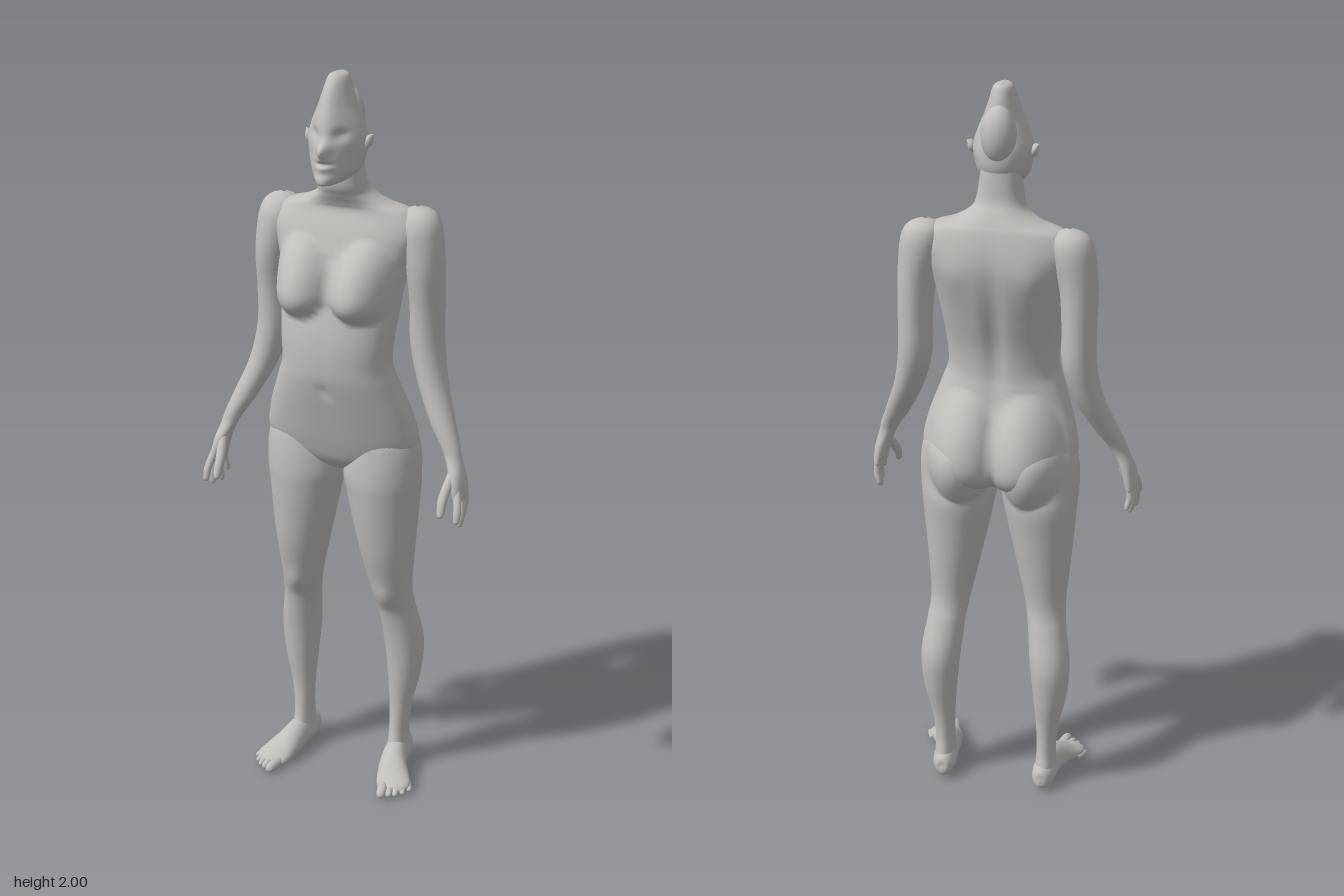
import * as THREE from 'three';

const V = (x, y, z) => new THREE.Vector3(x, y, z);
const bell = (d) => Math.exp(-d * d);
const dome = (dx, dy) => Math.max(0, 1 - dx * dx - dy * dy);

// Smooth skin over rows [x, y, z, halfWidth, halfDepth]; level keeps the rings horizontal.
function loft(rows, { side = 1, level = false, around = 24, steps = 5, power = 2, shape } = {}) {
  const spine = new THREE.CatmullRomCurve3(rows.map(r => V(r[0], r[1], r[2])), false, 'catmullrom', 0.5);
  const size = new THREE.CatmullRomCurve3(rows.map(r => V(r[3], r[4], 0)), false, 'catmullrom', 0.5);
  const n = (rows.length - 1) * steps, pos = [], idx = [];
  const bend = (v) => Math.sign(v) * Math.pow(Math.abs(v), 2 / power);
  for (let i = 0; i <= n; i++) {
    const c = spine.getPoint(i / n), s = size.getPoint(i / n);
    const t = level ? V(0, -1, 0) : spine.getTangent(i / n);
    const u = V(1, 0, 0).addScaledVector(t, -t.x).normalize();
    const w = t.clone().cross(u);
    for (let j = 0; j < around; j++) {
      const a = j / around * Math.PI * 2;
      const p = c.clone()
        .addScaledVector(u, Math.max(0, s.x) * bend(Math.cos(a)))
        .addScaledVector(w, Math.max(0, s.y) * bend(Math.sin(a)));
      if (shape) shape(p, Math.sin(a));
      pos.push(p.x * side, p.y, p.z);
      if (i === n) continue;
      const k = i * around + j, l = i * around + (j + 1) % around;
      const quad = [k, l, k + around, l, l + around, k + around];
      idx.push(...(side > 0 ? quad : quad.reverse()));
    }
  }
  const g = new THREE.BufferGeometry();
  g.setAttribute('position', new THREE.Float32BufferAttribute(pos, 3));
  g.setIndex(idx);
  g.computeVertexNormals();
  return g;
}

// Horizontal section from its extents
const band = ([y, x0, x1, front, back]) =>
  [(x0 + x1) / 2, y, (front + back) / 2, (x1 - x0) / 2, (front - back) / 2];
const centred = ([y, half, front, back]) => band([y, -half, half, front, back]);

// Bust, seat, spine and navel relief
function bodyRelief(p, facing) {
  const x = Math.abs(p.x), y = p.y;
  if (facing > 0) {
    const k = Math.min(1, facing * 2);
    p.z += k * 0.068 * Math.pow(dome((x - 0.088) / 0.084, (y - 1.455) / (y > 1.455 ? 0.13 : 0.075)), 0.85);
    p.z -= 0.008 * bell(x / 0.012) * bell((y - 1.19) / 0.015);
  } else {
    const k = Math.min(1, -facing * 2);
    p.z -= k * 0.066 * Math.pow(dome((x - 0.085) / 0.1, (y - 1.02) / (y > 1.02 ? 0.18 : 0.125)), 0.85);
    p.z += k * 0.014 * bell(x / 0.025) * bell((y - 1.36) / 0.2);
    p.z -= k * 0.008 * bell((x - 0.1) / 0.04) * bell((y - 1.53) / 0.06);
  }
}

// Face relief: narrowing, nose, lips, chin and eye sockets
function faceRelief(p, facing) {
  p.x *= 1 - 0.3 * THREE.MathUtils.smoothstep(p.z, 0.03, 0.14);
  if (facing <= 0) return;
  const x = Math.abs(p.x), y = p.y;
  p.z += 0.03 * bell(x / 0.014) * bell((y - 1.823) / 0.018);
  p.z += 0.012 * bell(x / 0.022) * bell((y - 1.79) / 0.018);
  p.z -= 0.014 * bell(x / 0.02) * bell((y - 1.79) / 0.006);
  p.z -= 0.012 * bell((x - 0.034) / 0.015) * bell((y - 1.858) / 0.014);
}

function kneeRelief(p, facing) {
  bodyRelief(p, facing);
  if (facing > 0) p.z += 0.008 * bell((p.x - 0.132) / 0.025) * bell((p.y - 0.57) / 0.035);
}

const torsoRows = [
  [1.79, 0.05, 0.06, -0.045], [1.72, 0.06, 0.06, -0.053], [1.69, 0.073, 0.048, -0.07],
  [1.665, 0.115, 0.035, -0.085], [1.645, 0.175, 0.032, -0.095], [1.6, 0.2, 0.055, -0.108],
  [1.55, 0.188, 0.075, -0.113], [1.5, 0.172, 0.092, -0.108], [1.45, 0.163, 0.108, -0.098],
  [1.4, 0.158, 0.125, -0.085], [1.32, 0.15, 0.142, -0.065], [1.25, 0.147, 0.146, -0.06],
  [1.2, 0.163, 0.14, -0.068], [1.1, 0.198, 0.115, -0.09], [1.02, 0.208, 0.093, -0.1],
  [0.97, 0.165, 0.072, -0.097], [0.935, 0.07, 0.03, -0.075], [0.925, 0, -0.02, -0.03]];

const headRows = [
  [2.0, 0, 0.045, 0.015], [1.992, 0.023, 0.068, -0.005], [1.96, 0.035, 0.092, -0.018],
  [1.92, 0.049, 0.108, -0.025], [1.88, 0.066, 0.12, -0.035], [1.84, 0.077, 0.127, -0.045],
  [1.8, 0.073, 0.133, -0.045], [1.77, 0.066, 0.138, -0.03], [1.75, 0.052, 0.146, 0],
  [1.737, 0.034, 0.14, 0.03], [1.73, 0, 0.1, 0.07]];

const legRows = [
  [1.1, 0.09, 0.15, 0.03, -0.03], [1.05, 0.03, 0.198, 0.075, -0.085], [1.0, 0.01, 0.214, 0.088, -0.1],
  [0.93, 0.004, 0.216, 0.095, -0.106], [0.88, 0.012, 0.212, 0.093, -0.113],
  [0.8, 0.028, 0.206, 0.085, -0.105], [0.7, 0.05, 0.198, 0.07, -0.095], [0.6, 0.072, 0.19, 0.042, -0.085],
  [0.55, 0.082, 0.19, 0.025, -0.088], [0.5, 0.09, 0.196, 0.007, -0.102], [0.4, 0.1, 0.21, -0.009, -0.127],
  [0.3, 0.11, 0.203, -0.018, -0.12], [0.2, 0.118, 0.182, -0.025, -0.103], [0.12, 0.12, 0.174, -0.02, -0.1],
  [0.07, 0.118, 0.176, -0.008, -0.112], [0.03, 0.118, 0.174, -0.01, -0.122], [0.005, 0.14, 0.15, -0.05, -0.06]];

const armRows = [
  [1.66, 0.18, 0.19, -0.035, -0.045], [1.65, 0.155, 0.222, -0.012, -0.075], [1.63, 0.14, 0.242, 0.008, -0.092],
  [1.59, 0.14, 0.253, 0.022, -0.1], [1.5, 0.162, 0.26, 0.026, -0.1], [1.4, 0.17, 0.26, 0.012, -0.1],
  [1.3, 0.173, 0.262, 0.01, -0.098], [1.2, 0.2, 0.28, 0.02, -0.073], [1.1, 0.25, 0.317, 0.042, -0.025],
  [1.05, 0.283, 0.336, 0.05, 0], [1.02, 0.299, 0.344, 0.057, 0.008], [0.98, 0.316, 0.357, 0.08, 0.005],
  [0.94, 0.327, 0.364, 0.09, 0.003], [0.915, 0.335, 0.362, 0.083, 0.007], [0.905, 0.345, 0.352, 0.05, 0.04]];

const footRows = [
  [0.142, 0.038, -0.128, 0, 0], [0.142, 0.038, -0.12, 0.02, 0.027], [0.145, 0.042, -0.09, 0.032, 0.041],
  [0.15, 0.046, -0.03, 0.033, 0.046], [0.16, 0.038, 0.02, 0.039, 0.038], [0.175, 0.025, 0.06, 0.046, 0.025],
  [0.188, 0.018, 0.088, 0.046, 0.017], [0.195, 0.014, 0.108, 0.03, 0.012], [0.196, 0.013, 0.114, 0, 0]];

// [base, knuckle, tip, radius]
const fingers = [
  [[0.33, 0.99, 0.055], [0.32, 0.935, 0.1], [0.32, 0.885, 0.128], 0.013],
  [[0.347, 0.95, 0.072], [0.358, 0.905, 0.098], [0.36, 0.868, 0.112], 0.0105],
  [[0.347, 0.94, 0.054], [0.358, 0.89, 0.07], [0.357, 0.845, 0.076], 0.011],
  [[0.347, 0.94, 0.034], [0.354, 0.89, 0.038], [0.347, 0.842, 0.038], 0.0105],
  [[0.346, 0.94, 0.016], [0.35, 0.9, 0.012], [0.342, 0.862, 0.006], 0.009]];
const toes = [
  [[0.158, 0.016, 0.085], [0.166, 0.016, 0.12], [0.172, 0.014, 0.153], 0.0145],
  [[0.178, 0.016, 0.085], [0.186, 0.016, 0.115], [0.191, 0.011, 0.14], 0.01],
  [[0.192, 0.015, 0.08], [0.201, 0.015, 0.105], [0.207, 0.01, 0.13], 0.0095],
  [[0.205, 0.014, 0.07], [0.215, 0.014, 0.09], [0.223, 0.01, 0.113], 0.009],
  [[0.215, 0.013, 0.05], [0.226, 0.013, 0.07], [0.236, 0.01, 0.09], 0.009]];

// Rounded finger or toe
function digit([a, b, c, r], side) {
  const A = V(...a), B = V(...b), C = V(...c);
  const row = (p, k) => [p.x, p.y, p.z, r * k, r * k];
  return loft([row(A, 1), row(B, 1), row(B.clone().lerp(C, 0.6), 0.88),
    row(B.clone().lerp(C, 0.9), 0.6), row(C, 0)], { side, around: 12, steps: 4 });
}

export function createModel() {
  const model = new THREE.Group();
  model.name = 'figure';
  const clay = new THREE.MeshStandardMaterial({ color: 0xc0bfbc });
  clay.name = 'clay grey';
  const add = (name, geometry, parent = model) => {
    const m = new THREE.Mesh(geometry, clay);
    m.name = name;
    parent.add(m);
    return m;
  };

  add('torso', loft(torsoRows.map(centred), { level: true, around: 88, steps: 7, power: 2.3, shape: bodyRelief }));
  add('head', loft(headRows.map(centred), { level: true, around: 72, steps: 9, shape: faceRelief }));

  // Rounded back of the skull
  const skull = add('backOfHead', new THREE.SphereGeometry(1, 32, 24));
  skull.scale.set(0.045, 0.072, 0.046);
  skull.position.set(0, 1.882, -0.022);

  for (const side of [1, -1]) {
    const half = new THREE.Group();
    half.name = side > 0 ? 'leftLimbs' : 'rightLimbs';
    model.add(half);
    add('leg', loft(legRows.map(band), { side, level: true, around: 44, steps: 6, shape: kneeRelief }), half);
    add('arm', loft(armRows.map(band), { side, level: true, around: 32, steps: 5 }), half);
    add('foot', loft(footRows, { side, around: 28, shape: p => { p.y = Math.max(0, p.y); } }), half);
    fingers.forEach((f, i) => add(i ? 'finger' : 'thumb', digit(f, side), half));
    toes.forEach(t => add('toe', digit(t, side), half));
    // Small pointed ear
    add('ear', loft([[0.07, 1.81, 0.035, 0, 0], [0.077, 1.825, 0.033, 0.01, 0.013],
      [0.083, 1.84, 0.028, 0.009, 0.014], [0.092, 1.85, 0.024, 0, 0]], { side, around: 14 }), half);
  }
  // The level rings run downward; ears run upward and keep their own frames
  return model;
}
